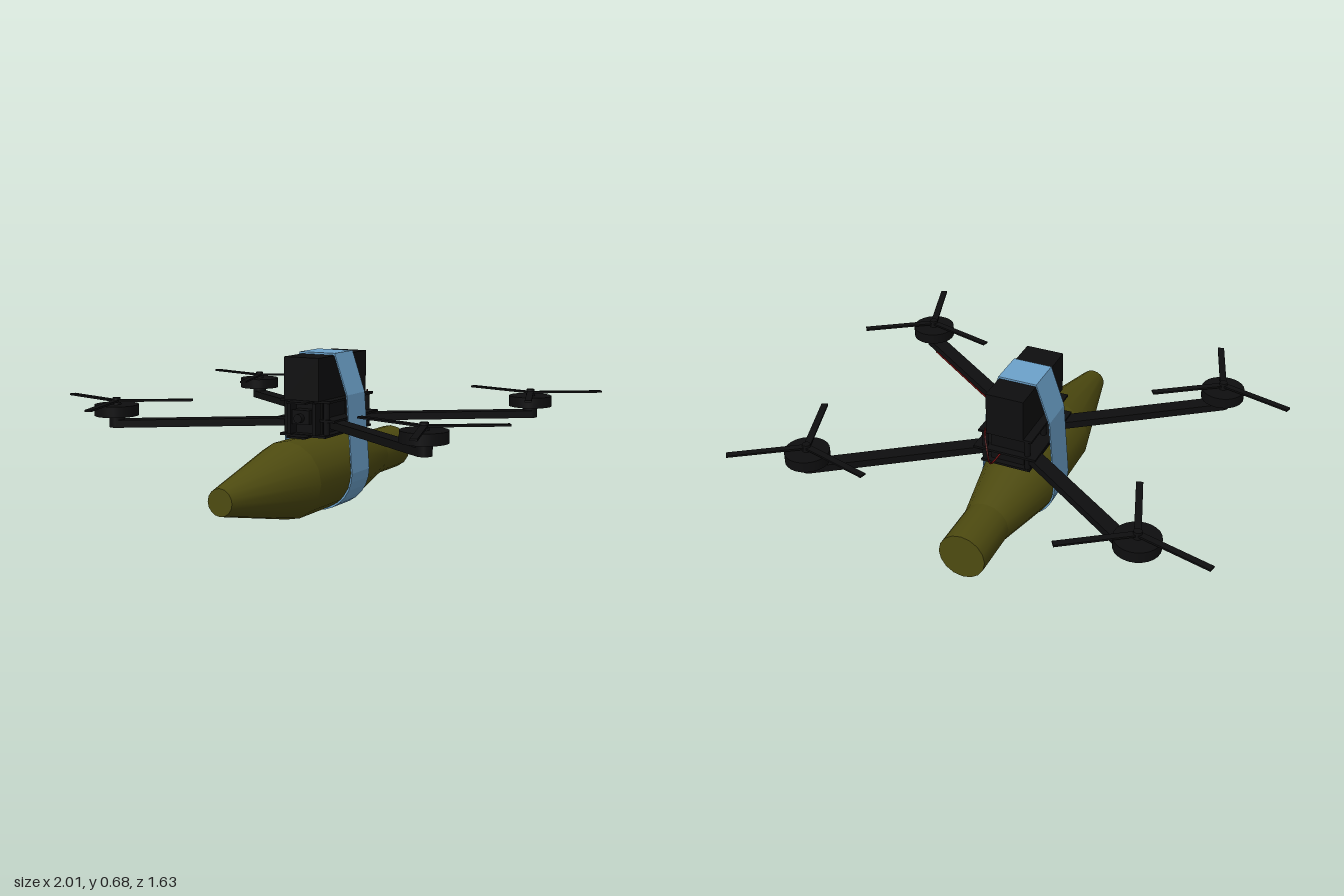
import * as THREE from 'three';

const CX = 0.02, CZ = -0.06; // middle of the airframe

const mat = (name, color, side = THREE.FrontSide) => {
  const m = new THREE.MeshStandardMaterial({ color, side });
  m.name = name;
  return m;
};

export function createModel() {
  const black = mat('black', 0x0e0e0f);
  const olive = mat('olive', 0x4e4b10);
  const blue = mat('strap blue', 0x6ca2cb);
  const red = mat('wire red', 0x6a0c0c);

  const model = new THREE.Group();
  model.name = 'quadcopter';

  const add = (parent, name, geo, material, x = 0, y = 0, z = 0) => {
    const mesh = new THREE.Mesh(geo, material);
    mesh.name = name;
    mesh.position.set(x, y, z);
    parent.add(mesh);
    return mesh;
  };
  // box given by its limits on each axis
  const box = (parent, name, x0, x1, y0, y1, z0, z1) =>
    add(parent, name, new THREE.BoxGeometry(x1 - x0, y1 - y0, z1 - z0), black,
      (x0 + x1) / 2, (y0 + y1) / 2, (z0 + z1) / 2);

  // Slung body: rings of [z, radius] joined by smooth bands with sharp seams
  const slung = new THREE.Group();
  slung.name = 'slungBody';
  slung.position.set(CX, 0.172, 0);
  model.add(slung);
  const rings = [[0.79, 0.055], [0.3, 0.164], [-0.12, 0.164], [-0.44, 0.101], [-0.67, 0.101]];
  for (let i = 0; i < rings.length - 1; i++) {
    const [z0, r0] = rings[i], [z1, r1] = rings[i + 1];
    const band = new THREE.CylinderGeometry(r0, r1, z0 - z1, 16, 1, true).rotateX(Math.PI / 2);
    add(slung, 'bodyBand', band, olive, 0, 0, (z0 + z1) / 2);
  }
  add(slung, 'noseCap', new THREE.CircleGeometry(0.055, 16), olive, 0, 0, 0.79);
  add(slung, 'tailCap', new THREE.CircleGeometry(0.101, 16).rotateY(Math.PI), olive, 0, 0, -0.67);

  // Strap: thin closed band around battery and slung body
  const outline = [[-0.085, 0.68], [-0.145, 0.505]];
  for (let i = 0; i <= 14; i++) {
    const a = Math.PI + (Math.PI * i) / 14;
    outline.push([0.17 * Math.cos(a), 0.172 + 0.172 * Math.sin(a)]);
  }
  outline.push([0.145, 0.505], [0.085, 0.68]);
  const strapShape = new THREE.Shape(outline.map(([x, y]) => new THREE.Vector2(x, y)));
  strapShape.holes.push(new THREE.Path(
    outline.map(([x, y]) => new THREE.Vector2(x * 0.965, 0.34 + (y - 0.34) * 0.975))));
  add(model, 'strap', new THREE.ExtrudeGeometry(strapShape, { depth: 0.16, bevelEnabled: false }),
    blue, CX, 0, -0.115);

  // Airframe: two plates, electronics between, battery on top
  const frame = new THREE.Group();
  frame.name = 'airframe';
  frame.position.x = CX;
  model.add(frame);
  box(frame, 'battery', -0.083, 0.083, 0.49, 0.67, -0.245, 0.18);
  box(frame, 'topPlate', -0.12, 0.12, 0.48, 0.49, -0.245, 0.15);
  box(frame, 'topPlateTongue', -0.045, 0.045, 0.48, 0.488, 0.15, 0.225);
  box(frame, 'armPlate', -0.14, 0.14, 0.4, 0.41, -0.255, 0.145);
  box(frame, 'bottomPlate', -0.11, 0.11, 0.336, 0.346, -0.245, 0.17);
  box(frame, 'bottomPlateTongue', -0.045, 0.045, 0.336, 0.344, 0.17, 0.225);
  box(frame, 'electronics', -0.075, 0.075, 0.346, 0.48, -0.22, 0.13);
  for (const sx of [-1, 1]) {
    box(frame, 'cameraCheek', sx * 0.06 - 0.008, sx * 0.06 + 0.008, 0.346, 0.48, 0.1, 0.18);
    for (const z of [-0.23, -0.06, 0.13]) {
      add(frame, 'standoff', new THREE.CylinderGeometry(0.014, 0.014, 0.14, 8), black,
        sx * 0.095, 0.412, z);
    }
  }
  box(frame, 'camera', -0.04, 0.04, 0.39, 0.45, 0.12, 0.185);
  add(frame, 'cameraLens', new THREE.CylinderGeometry(0.019, 0.019, 0.03, 14).rotateX(Math.PI / 2),
    black, 0, 0.417, 0.195);

  // Four arms, each with a motor and a three-bladed propeller
  for (const sx of [-1, 1]) {
    for (const sz of [-1, 1]) {
      const arm = new THREE.Group();
      arm.name = (sz > 0 ? 'front' : 'back') + (sx > 0 ? 'Left' : 'Right') + 'Arm';
      arm.position.set(CX, 0, CZ);
      model.add(arm);

      const ax = sx * 0.05, az = sz * 0.1, mx = sx * 0.71, mz = sz * 0.565;
      const length = Math.hypot(mx - ax, mz - az), angle = -Math.atan2(mz - az, mx - ax);
      const beam = add(arm, 'beam', new THREE.BoxGeometry(length, 0.032, 0.064), black,
        (ax + mx) / 2, 0.386, (az + mz) / 2);
      beam.rotation.y = angle;
      // Power wire along the lower edge of one beam
      if (sx > 0 && sz > 0) {
        add(beam, 'armWire', new THREE.CylinderGeometry(0.004, 0.004, length * 0.8, 6)
          .rotateZ(Math.PI / 2), red, 0, -0.014, -0.033);
      }

      add(arm, 'motorMount', new THREE.CylinderGeometry(0.032, 0.032, 0.052, 16), black, mx, 0.396, mz);
      add(arm, 'motor', new THREE.CylinderGeometry(0.093, 0.093, 0.046, 24), black, mx, 0.443, mz);
      add(arm, 'propellerHub', new THREE.CylinderGeometry(0.017, 0.02, 0.03, 12), black, mx, 0.48, mz);
      for (const degrees of [165, 34, -72]) {
        const blade = new THREE.BoxGeometry(0.32, 0.008, 0.028).translate(0.16, 0, 0);
        add(arm, 'propellerBlade', blade, black, mx, 0.481, mz).rotation.y =
          THREE.MathUtils.degToRad(degrees);
      }
    }
  }

  // Battery lead looping behind the frame
  const loop = new THREE.CatmullRomCurve3([
    [0.11, 0.5, -0.24], [0.095, 0.485, -0.275], [0.07, 0.44, -0.31],
    [0.058, 0.4, -0.32], [0.06, 0.37, -0.29], [0.05, 0.38, -0.22],
  ].map((p) => new THREE.Vector3(...p)));
  add(model, 'batteryLead', new THREE.TubeGeometry(loop, 24, 0.004, 6), red);

  return model;
}
